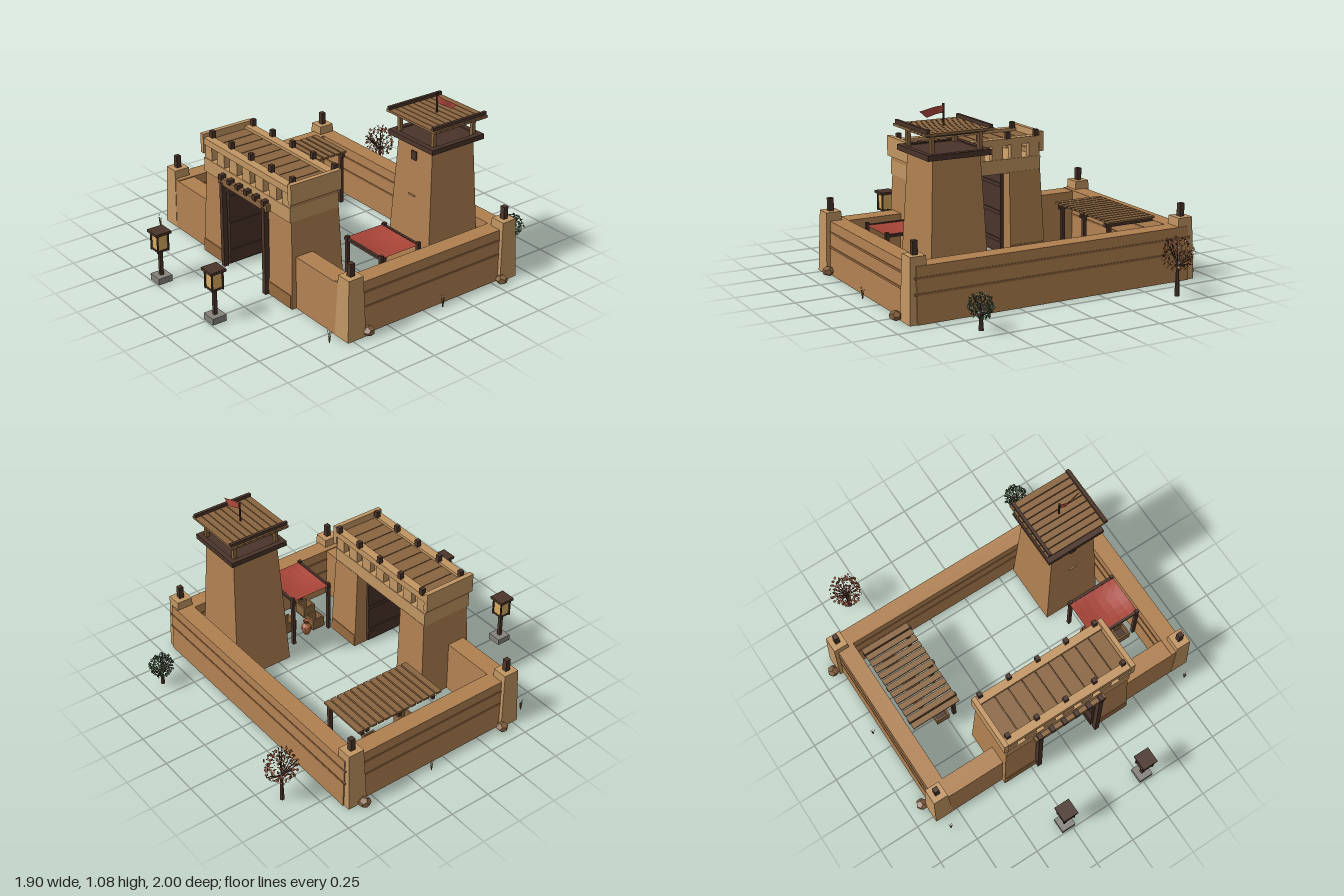
import * as THREE from 'three';
import { mergeGeometries } from 'three/addons/utils/BufferGeometryUtils.js';

const mat = (color, side = THREE.FrontSide) => new THREE.MeshStandardMaterial({ color, side, flatShading: true });
const M = {
  clay: mat(0xb08050), pale: mat(0xc29663), stain: mat(0x98693f), plank: mat(0x8a6540), dark: mat(0x4a342a),
  red: mat(0xa84438, THREE.DoubleSide), stone: mat(0x85827c), glow: mat(0xd8ab62), rock: mat(0x83603f),
  jar: mat(0xa8623c, THREE.DoubleSide), rust: mat(0x86482c, THREE.DoubleSide),
  leaf: mat(0x42573c, THREE.DoubleSide), grass: mat(0x77703f, THREE.DoubleSide),
};

let seed = 7;
const rnd = () => (seed = (seed * 16807) % 2147483647) / 2147483647;

function add(parent, name, geo, material, x = 0, y = 0, z = 0) {
  const m = new THREE.Mesh(geo, material);
  m.name = name;
  m.position.set(x, y, z);
  parent.add(m);
  return m;
}

// Box whose y is its bottom
const box = (p, name, material, w, h, d, x, y, z) =>
  add(p, name, new THREE.BoxGeometry(w, h, d), material, x, y + h / 2, z);

// Box that narrows towards the top by t on each side
function taper(p, name, material, w, h, d, x, y, z, tx, tz = tx) {
  const g = new THREE.BoxGeometry(w, h, d), a = g.attributes.position;
  for (let i = 0; i < a.count; i++) if (a.getY(i) > 0) {
    a.setX(i, a.getX(i) * (1 - 2 * tx / w));
    a.setZ(i, a.getZ(i) * (1 - 2 * tz / d));
  }
  g.computeVertexNormals();
  return add(p, name, g, material, x, y + h / 2, z);
}

function group(parent, name, x = 0, y = 0, z = 0) {
  const g = new THREE.Group();
  g.name = name;
  g.position.set(x, y, z);
  parent.add(g);
  return g;
}

function buildWalls(root) {
  const g = group(root, 'outerWalls');
  // Back and side walls with thin seam courses
  taper(g, 'backWall', M.clay, 1.7, 0.31, 0.125, 0, 0, -0.612, 0, 0.012);
  for (const s of [-1, 1]) {
    taper(g, 'sideWall', M.clay, 0.125, 0.31, 1.12, s * 0.808, 0, -0.04, 0.012, 0);
    taper(g, 'frontWall', M.clay, 0.45, 0.305, 0.135, s * 0.63, 0, 0.465, 0, 0.012);
  }
  for (const [y, e] of [[0.155, 0.12], [0.24, 0.113]]) {
    box(g, 'backCourse', M.stain, 1.72, 0.012, e, 0, y, -0.612);
    for (const s of [-1, 1]) box(g, 'sideCourse', M.stain, e, 0.012, 1.08, s * 0.808, y, -0.05);
  }
  // Corner pillars with short wooden posts
  for (const x of [-0.835, 0.835]) for (const z of [-0.607, 0.474]) {
    taper(g, 'cornerPillar', M.pale, 0.115, 0.36, 0.12, x, 0, z, 0.012);
    box(g, 'cornerPost', M.dark, 0.03, 0.075, 0.03, x, 0.36, z);
  }
}

function buildGate(root) {
  const g = group(root, 'gatehouse');
  for (const s of [-1, 1]) {
    // Leg whose outer side leans in while the passage side stays upright
    const leg = taper(g, 'gateLeg', M.clay, 0.235, 0.52, 0.355, s * 0.3175, 0, 0.383, 0.0125, 0.02);
    const a = leg.geometry.attributes.position;
    for (let i = 0; i < a.count; i++) if (a.getY(i) > 0) a.setX(i, a.getX(i) - s * 0.0125);
    leg.geometry.computeVertexNormals();
    box(g, 'baseStain', M.stain, 0.22, 0.08, 0.357, s * 0.312, 0, 0.383);
    box(g, 'gatePost', M.dark, 0.028, 0.53, 0.03, s * 0.203, 0, 0.568);
    // Open door leaf with cross bands
    box(g, 'doorLeaf', M.dark, 0.018, 0.48, 0.25, s * 0.19, 0.015, 0.42);
    for (const y of [0.08, 0.25, 0.42]) box(g, 'doorBand', M.dark, 0.026, 0.022, 0.25, s * 0.188, y, 0.42);
    box(g, 'parapetSide', M.clay, 0.026, 0.03, 0.31, s * 0.4, 0.6, 0.39);
    box(g, 'parapetEnd', M.pale, 0.028, 0.118, 0.335, s * 0.418, 0.627, 0.392);
  }
  box(g, 'lintel', M.pale, 0.825, 0.085, 0.325, 0, 0.515, 0.39);
  // Parapet blocks, rails and pegs on both faces
  for (const z of [0.25, 0.53]) {
    for (let i = -3; i <= 3; i++) box(g, 'merlon', M.pale, 0.072, 0.085, 0.035, i * 0.125, 0.6, z);
    box(g, 'parapetRail', M.pale, 0.81, 0.04, 0.05, 0, 0.683, z);
    for (let i = -2; i <= 2; i++) box(g, 'roofPeg', M.dark, 0.026, 0.042, 0.026, i * 0.19, 0.72, z < 0.4 ? 0.232 : 0.51);
  }
  for (let i = 0; i < 9; i++) box(g, 'roofPlank', M.plank, 0.084, 0.016, 0.25, (i - 4) * 0.089, 0.69, 0.39);
  // Beam over the opening with stub ends
  box(g, 'gateBeam', M.plank, 0.47, 0.04, 0.03, 0, 0.515, 0.565);
  for (let i = 0; i < 6; i++) box(g, 'beamStub', M.dark, 0.028, 0.03, 0.045, (i - 2.5) * 0.082, 0.545, 0.565);
}

function buildTower(root) {
  const g = group(root, 'watchTower', 0.53, 0, -0.355);
  taper(g, 'towerBody', M.clay, 0.36, 0.82, 0.375, 0, 0, 0, 0.04);
  box(g, 'window', M.dark, 0.04, 0.052, 0.02, 0, 0.718, 0.149);
  box(g, 'windowSill', M.pale, 0.05, 0.008, 0.02, 0, 0.505, 0.16);
  // Platform with a rim
  box(g, 'platform', M.dark, 0.34, 0.02, 0.34, 0, 0.82, 0);
  for (const s of [-1, 1]) {
    box(g, 'platformRim', M.dark, 0.37, 0.03, 0.03, 0, 0.817, s * 0.17);
    box(g, 'platformRim', M.dark, 0.03, 0.03, 0.37, s * 0.17, 0.817, 0);
    for (const t of [-1, 1]) box(g, 'roofPost', M.plank, 0.022, 0.11, 0.022, s * 0.14, 0.84, t * 0.14);
    box(g, 'roofBeam', M.dark, 0.34, 0.014, 0.02, 0, 0.933, s * 0.14);
    box(g, 'roofPole', M.dark, 0.018, 0.02, 0.38, s * 0.183, 0.96, 0);
  }
  for (let i = 0; i < 9; i++) box(g, 'roofPlank', M.plank, 0.405, 0.014, 0.038, 0, 0.947, (i - 4) * 0.0425);
  // Flag rippling away from its pole
  add(g, 'flagPole', new THREE.CylinderGeometry(0.006, 0.006, 0.125, 6), M.dark, 0, 1.017, 0);
  const flag = new THREE.PlaneGeometry(1, 1, 6, 1), a = flag.attributes.position;
  for (let i = 0; i < a.count; i++) {
    const u = a.getX(i) + 0.5, top = a.getY(i) > 0;
    a.setXYZ(i, u * (top ? 0.145 : 0.105), top ? 1.068 - u * 0.02 : 1.028 - u * 0.016, Math.sin(u * 5) * 0.01);
  }
  flag.computeVertexNormals();
  add(g, 'flag', flag, M.red);
}

// Open crate
function crate(p, x, z, s = 0.085) {
  const g = group(p, 'crate', x, 0, z);
  box(g, 'crateFloor', M.dark, s, 0.01, s, 0, 0, 0);
  for (const k of [-1, 1]) {
    box(g, 'crateSide', M.plank, s, 0.07, 0.01, 0, 0, k * (s / 2 - 0.005));
    box(g, 'crateSide', M.plank, 0.01, 0.07, s - 0.02, k * (s / 2 - 0.005), 0, 0);
  }
}

function jar(p, x, z) {
  const pts = [[0, 0], [0.018, 0], [0.033, 0.035], [0.03, 0.06], [0.014, 0.08], [0.021, 0.095]];
  add(p, 'jar', new THREE.LatheGeometry(pts.map(q => new THREE.Vector2(...q)), 10), M.jar, x, 0, z);
}

function buildYard(root) {
  // Slatted shelter along one wall
  const s = group(root, 'slattedShelter');
  for (let i = 0; i < 13; i++)
    box(s, 'slat', M.plank, 0.31, 0.012, 0.036, -0.587, 0.333, -0.47 + i * 0.0447);
  for (const z of [-0.46, -0.205, 0.03]) {
    box(s, 'crossBeam', M.dark, 0.32, 0.022, 0.02, -0.583, 0.311, z);
    box(s, 'shelterPost', M.dark, 0.022, 0.312, 0.022, -0.45, 0, z);
  }
  crate(s, -0.53, 0);
  crate(s, -0.57, -0.26);
  crate(s, -0.6, -0.43);
  jar(s, -0.6, -0.12);

  // Cloth awning sagging between two bars
  const w = group(root, 'awning');
  for (const z of [-0.07, 0.19]) {
    box(w, 'awningBar', M.dark, 0.32, 0.016, 0.016, 0.585, 0.312, z);
    box(w, 'awningPost', M.dark, 0.02, 0.34, 0.02, 0.445, 0, z);
    box(w, 'awningPost', M.dark, 0.02, 0.34, 0.02, 0.735, 0, z);
  }
  const cloth = new THREE.PlaneGeometry(0.31, 0.26, 6, 6).rotateX(-Math.PI / 2), a = cloth.attributes.position;
  for (let i = 0; i < a.count; i++)
    a.setY(i, -0.022 * Math.cos(a.getX(i) / 0.31 * Math.PI) * Math.cos(a.getZ(i) / 0.26 * Math.PI));
  cloth.computeVertexNormals();
  add(w, 'cloth', cloth, M.red, 0.587, 0.325, 0.06);
  crate(w, 0.655, 0.168);
  crate(w, 0.52, 0.14);
  crate(w, 0.59, -0.02);
  jar(w, 0.48, 0.05);
}

function lantern(root, x) {
  const g = group(root, 'lantern', x, 0, 0.95);
  box(g, 'lanternBase', M.stone, 0.088, 0.038, 0.088, 0, 0, 0);
  box(g, 'lanternPost', M.dark, 0.02, 0.17, 0.02, 0, 0.038, 0);
  box(g, 'lanternTray', M.dark, 0.07, 0.01, 0.07, 0, 0.195, 0);
  box(g, 'lanternLight', M.glow, 0.06, 0.1, 0.06, 0, 0.2, 0);
  for (const s of [-1, 1]) for (const t of [-1, 1])
    box(g, 'lanternFrame', M.dark, 0.008, 0.11, 0.008, s * 0.034, 0.192, t * 0.034);
  box(g, 'lanternRoof', M.dark, 0.097, 0.016, 0.097, 0, 0.3, 0);
}

// Bush: trunk, spreading twigs and small leaves scattered in a crown
function bush(root, name, x, z, cy, r, ry, leafMat) {
  const g = group(root, name, x, 0, z), leaves = [], up = new THREE.Vector3(0, 1, 0);
  const fork = new THREE.Vector3(0, cy - ry * 0.7, 0);
  add(g, 'trunk', new THREE.CylinderGeometry(0.008, 0.014, fork.y, 6), M.dark, 0, fork.y / 2, 0);
  for (let i = 0; i < 150; i++) {
    const a = i * 2.39996, v = 1 - 2 * (i + 0.5) / 150, k = 0.7 + 0.3 * rnd(), h = Math.sqrt(1 - v * v);
    const p = new THREE.Vector3(h * Math.cos(a) * r * k, cy + v * ry * k, h * Math.sin(a) * r * k);
    const leaf = new THREE.CircleGeometry(0.012, 4).scale(0.7, 1, 1);
    leaves.push(leaf.rotateX(rnd() * 6).rotateY(rnd() * 6).translate(p.x, p.y, p.z));
    if (i % 8 === 0 && v > -0.6) {
      const d = p.clone().sub(fork);
      const twig = add(g, 'twig', new THREE.CylinderGeometry(0.002, 0.004, d.length(), 4), M.dark);
      twig.position.copy(fork).addScaledVector(d, 0.5);
      twig.quaternion.setFromUnitVectors(up, d.normalize());
    }
  }
  add(g, 'leaves', mergeGeometries(leaves), leafMat);
}

function buildSurroundings(root) {
  for (const x of [-0.275, 0.27]) lantern(root, x);
  bush(root, 'rustBush', -0.61, -0.9, 0.24, 0.098, 0.1, M.rust);
  bush(root, 'greenBush', 0.605, -0.9, 0.13, 0.073, 0.07, M.leaf);
  // Rocks at the corners
  for (const [x, z] of [[-0.918, -0.58], [0.912, -0.54], [-0.91, 0.405], [0.89, 0.395]]) {
    const r = add(root, 'rock', new THREE.DodecahedronGeometry(0.036), M.rock, x, 0.027, z);
    r.scale.y = 0.8;
    r.rotation.y = x * 9 + z;
  }
  // Grass tufts of leaning blades
  for (const [x, z] of [[-0.92, -0.12], [0.905, -0.11], [-0.84, 0.61], [0.825, 0.605]]) {
    const t = group(root, 'grassTuft', x, 0, z);
    for (let i = 0; i < 7; i++) {
      const h = 0.06 + 0.035 * rnd();
      const b = add(t, 'blade', new THREE.ConeGeometry(0.003, h, 3).translate(0, h / 2, 0), M.grass);
      b.rotation.set(0, i * 0.9, 0.12 + 0.1 * rnd());
    }
  }
}

export function createModel() {
  const root = new THREE.Group();
  root.name = 'desertFort';
  buildWalls(root);
  buildGate(root);
  buildTower(root);
  buildYard(root);
  buildSurroundings(root);
  return root;
}
